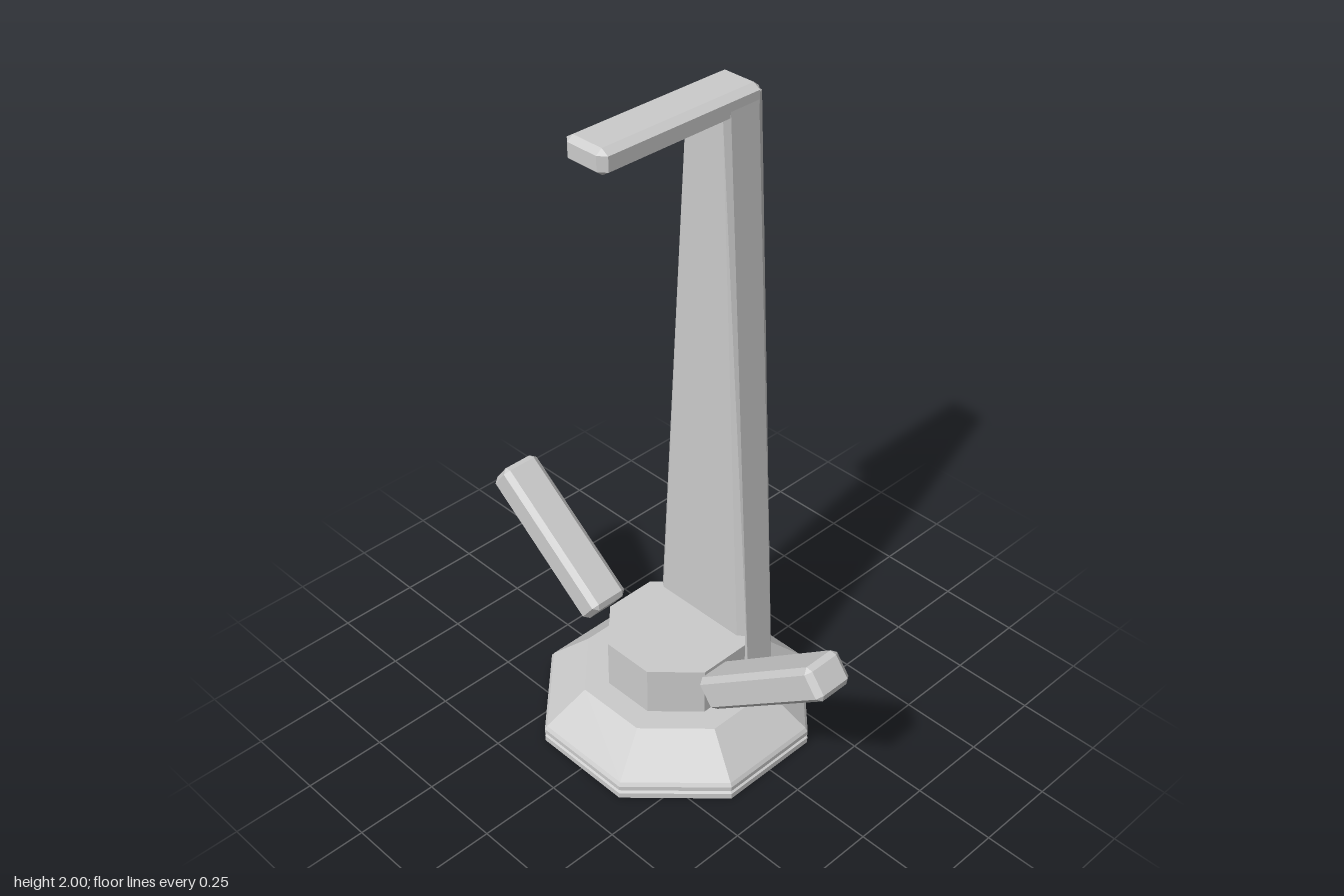
import * as THREE from 'three';
import { ConvexGeometry } from 'three/addons/geometries/ConvexGeometry.js';

const material = new THREE.MeshStandardMaterial({ color: 0xcccccc, flatShading: true });

function part(name, geometry) {
  const mesh = new THREE.Mesh(geometry, material);
  mesh.name = name;
  return mesh;
}

// Box of half sizes hx, hy, hz with every edge bevelled by (bx, by, bz);
// the optional rule moves each corner point.
function bevelBox([hx, hy, hz], [bx, by, bz], rule) {
  const points = [];
  for (const sx of [-1, 1]) for (const sy of [-1, 1]) for (const sz of [-1, 1]) {
    points.push(
      new THREE.Vector3(sx * hx, sy * (hy - by), sz * (hz - bz)),
      new THREE.Vector3(sx * (hx - bx), sy * hy, sz * (hz - bz)),
      new THREE.Vector3(sx * (hx - bx), sy * (hy - by), sz * hz));
  }
  if (rule) points.forEach(rule);
  return new ConvexGeometry(points);
}

// Octagonal solid from [flat-to-centre distance, height] steps
function octagon(profile) {
  const k = 1 / Math.cos(Math.PI / 8);
  const points = profile.map(([r, y]) => new THREE.Vector2(r * k, y));
  return new THREE.LatheGeometry(points, 8, Math.PI / 8);
}

export function createModel() {
  const model = new THREE.Group();
  model.name = 'hookStand';

  // Base with a thin groove round its rim and a sloping top
  model.add(part('base', octagon([
    [0, 0], [0.39, 0], [0.39, 0.018], [0.382, 0.022], [0.382, 0.027], [0.39, 0.031],
    [0.39, 0.045], [0.383, 0.056], [0.27, 0.16], [0, 0.16],
  ])));
  model.add(part('pedestal', octagon([[0.2, 0.155], [0.2, 0.315], [0, 0.315]])));

  // Upright post, narrowing in width towards the top
  const post = part('post', bevelBox([0.187, 0.92, 0.07], [0.024, 0.012, 0.02], (p) => {
    p.x *= THREE.MathUtils.lerp(1, 0.375, (p.y + 0.92) / 1.84);
  }));
  post.position.set(0, 1.07, -0.165);
  model.add(post);

  // Top arm reaching forward
  const arm = part('topArm', bevelBox([0.072, 0.035, 0.2725], [0.022, 0.014, 0.018]));
  arm.position.set(0, 1.965, 0.0375);
  model.add(arm);

  // Pair of slanting side prongs
  for (const [name, side] of [['leftProng', 1], ['rightProng', -1]]) {
    const prong = part(name, bevelBox([0.257, 0.051, 0.065], [0.015, 0.015, 0.018]));
    prong.position.set(side * 0.4415, 0.435, 0.065);
    prong.rotation.z = side * 0.655;
    model.add(prong);
  }

  return model;
}
